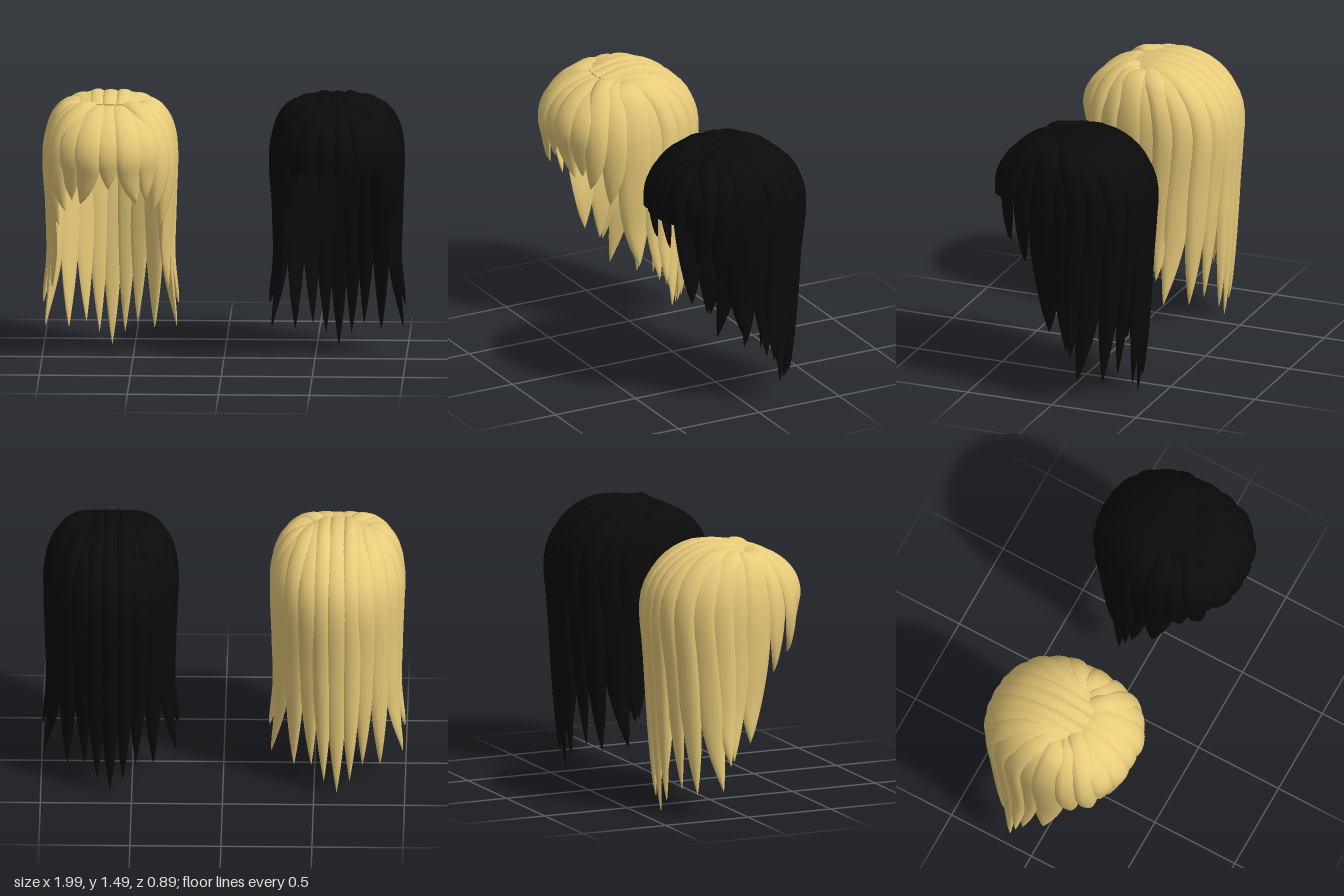
import * as THREE from 'three';
import { toCreasedNormals } from 'three/addons/utils/BufferGeometryUtils.js';

const V = (x, y, z) => new THREE.Vector3(x, y, z);
const SEG = 32, RING = 12;

// Lens-shaped lock of hair swept along a path, facing away from the head
function lockGeometry(path, width, thick, blunt) {
  const pos = [], index = [];
  for (let i = 0; i <= SEG; i++) {
    const t = i / SEG, p = path.getPointAt(t), T = path.getTangentAt(t);
    const N = V(p.x, p.y - Math.min(p.y, 1.05), p.z);
    N.addScaledVector(T, -N.dot(T)).normalize();
    const W = T.clone().cross(N);
    const root = 0.6 + 0.4 * Math.sin(Math.min(1, t / 0.35) * Math.PI / 2);
    const taper = blunt ? 1 : 1 - Math.pow(Math.max(0, (t - 0.45) / 0.55), 2.8) * 0.99;
    const w = width / 2 * root * taper;
    const h = thick * Math.min(1, 0.35 + t * 5) * (blunt ? 1 : Math.sqrt(taper));
    for (let j = 0; j < RING; j++) {
      const a = j / RING * Math.PI * 2, s = Math.sin(a);
      const q = p.clone().addScaledVector(W, w * Math.cos(a))
        .addScaledVector(N, h * s * (s > 0 ? 1 : 0.35));
      pos.push(q.x, q.y, q.z);
    }
  }
  for (let i = 0; i < SEG; i++) for (let j = 0; j < RING; j++) {
    const a = i * RING + j, c = i * RING + (j + 1) % RING;
    index.push(a, a + RING, c, a + RING, c + RING, c);
  }
  // End caps
  const last = SEG * RING;
  for (let j = 1; j < RING - 1; j++) {
    index.push(0, j, j + 1, last, last + j + 1, last + j);
  }
  const g = new THREE.BufferGeometry();
  g.setAttribute('position', new THREE.Float32BufferAttribute(pos, 3));
  g.setIndex(index);
  return toCreasedNormals(g, 0.9);
}

// Path: arc over the crown to the widest point, then hanging down to the tip
function lockPath({ root, belly, tip, by = 1.13, a0 = -0.38, top = 1.467, sway = 1 }, side) {
  const [rx, rz] = root, [bx, bz] = belly, [tx, ty, tz] = tip;
  const ry = top - rx * rx, pts = [];
  for (let k = 0; k <= 5; k++) {
    const a = a0 + (Math.PI / 2 - a0) * k / 5, s = Math.sin(a);
    pts.push(V(side * (rx + (bx - rx) * s), by + (ry - by) * Math.cos(a), rz + (bz - rz) * s));
  }
  for (const k of [0.35, 0.7]) {
    const x = (bx + (tx - bx) * k * k) * (1 - (1 - sway) * k / 0.7);
    pts.push(V(side * x, by + (ty - by) * k, bz + (tz - bz) * k));
  }
  pts.push(V(side * tx, ty, tz));
  return new THREE.CatmullRomCurve3(pts);
}

// Locks on the model's left half; those off the centre line are mirrored
const lengths = [
  { name: 'backLock', root: [0, 0], belly: [0, -0.415], tip: [0, 0, -0.353], w: 0.12 },
  { name: 'backLock', root: [0.075, 0], belly: [0.08, -0.4], tip: [0.07, 0.07, -0.35], w: 0.115 },
  { name: 'backLock', root: [0.12, 0], belly: [0.155, -0.385], tip: [0.14, 0.14, -0.29], w: 0.125 },
  { name: 'backLock', root: [0.155, 0], belly: [0.23, -0.325], tip: [0.235, 0.12, -0.24], w: 0.145 },
  { name: 'sideLock', root: [0.18, 0.01], belly: [0.29, -0.25], tip: [0.36, 0.15, -0.14], w: 0.16, sway: 0.96 },
  { name: 'sideLock', root: [0.19, 0.03], belly: [0.325, -0.15], tip: [0.37, 0.29, -0.1], w: 0.16, sway: 0.93 },
  { name: 'sideLock', root: [0.19, 0.05], belly: [0.34, -0.04], tip: [0.345, 0.31, -0.07], w: 0.16, sway: 0.93 },
  { name: 'sideLock', root: [0.19, 0.08], belly: [0.332, 0.08], tip: [0.315, 0.4, 0.04], w: 0.2, sway: 0.93 },
  { name: 'templeLock', root: [0.14, 0.11], belly: [0.322, 0.2], tip: [0.275, 0.78, 0.2], w: 0.14, a0: -0.15, top: 1.455 },
  { name: 'templeLock', root: [0.09, 0.12], belly: [0.28, 0.295], tip: [0.235, 0.88, 0.3], w: 0.14, a0: -0.15, top: 1.445 },
];

// Pointed fringe: one middle lock overlapped by sweeping side locks
const pointedFringe = [
  { root: [0, 0.1], belly: [0, 0.415], tip: [0, 1.02, 0.395], w: 0.15 },
  { root: [0.05, 0.1], belly: [0.115, 0.402], tip: [0.155, 0.93, 0.35], w: 0.16 },
  { root: [0.08, 0.11], belly: [0.21, 0.36], tip: [0.2, 0.95, 0.33], w: 0.15 },
];

// Straight-cut fringe
const bluntFringe = [
  { root: [0.03, 0.1], belly: [0.055, 0.42], tip: [0.055, 1.115, 0.42], w: 0.13 },
  { root: [0.06, 0.1], belly: [0.155, 0.395], tip: [0.155, 1.12, 0.395], w: 0.14 },
  { root: [0.08, 0.11], belly: [0.23, 0.35], tip: [0.215, 1.06, 0.345], w: 0.14, pointed: true },
];

function createWig(name, color, fringe, blunt) {
  const wig = new THREE.Group();
  wig.name = name;
  const material = new THREE.MeshStandardMaterial({ color });
  const add = (lock, isBlunt, layer) => {
    for (const side of lock.root[0] === 0 ? [1] : [1, -1]) {
      const geo = lockGeometry(lockPath(lock, side), lock.w, 0.027 + layer, isBlunt);
      const mesh = new THREE.Mesh(geo, material);
      mesh.name = lock.name + (lock.root[0] === 0 ? 'Middle' : side > 0 ? 'Left' : 'Right');
      wig.add(mesh);
    }
  };
  lengths.forEach((l, i) => add(l, false, (i % 2) * 0.008));
  fringe.forEach((l, i) => add(
    { name: 'fringeLock', by: 1.18, a0: -0.05, top: 1.425, ...l },
    blunt && !l.pointed, (i % 2) * 0.006));
  return wig;
}

export function createModel() {
  const model = new THREE.Group();
  model.name = 'wigs';
  const blonde = createWig('blondeWig', 0xe8cb7a, pointedFringe, false);
  blonde.position.x = -0.625;
  const black = createWig('blackWig', 0x0a0a0a, bluntFringe, true);
  black.position.x = 0.62;
  model.add(blonde, black);
  return model;
}
